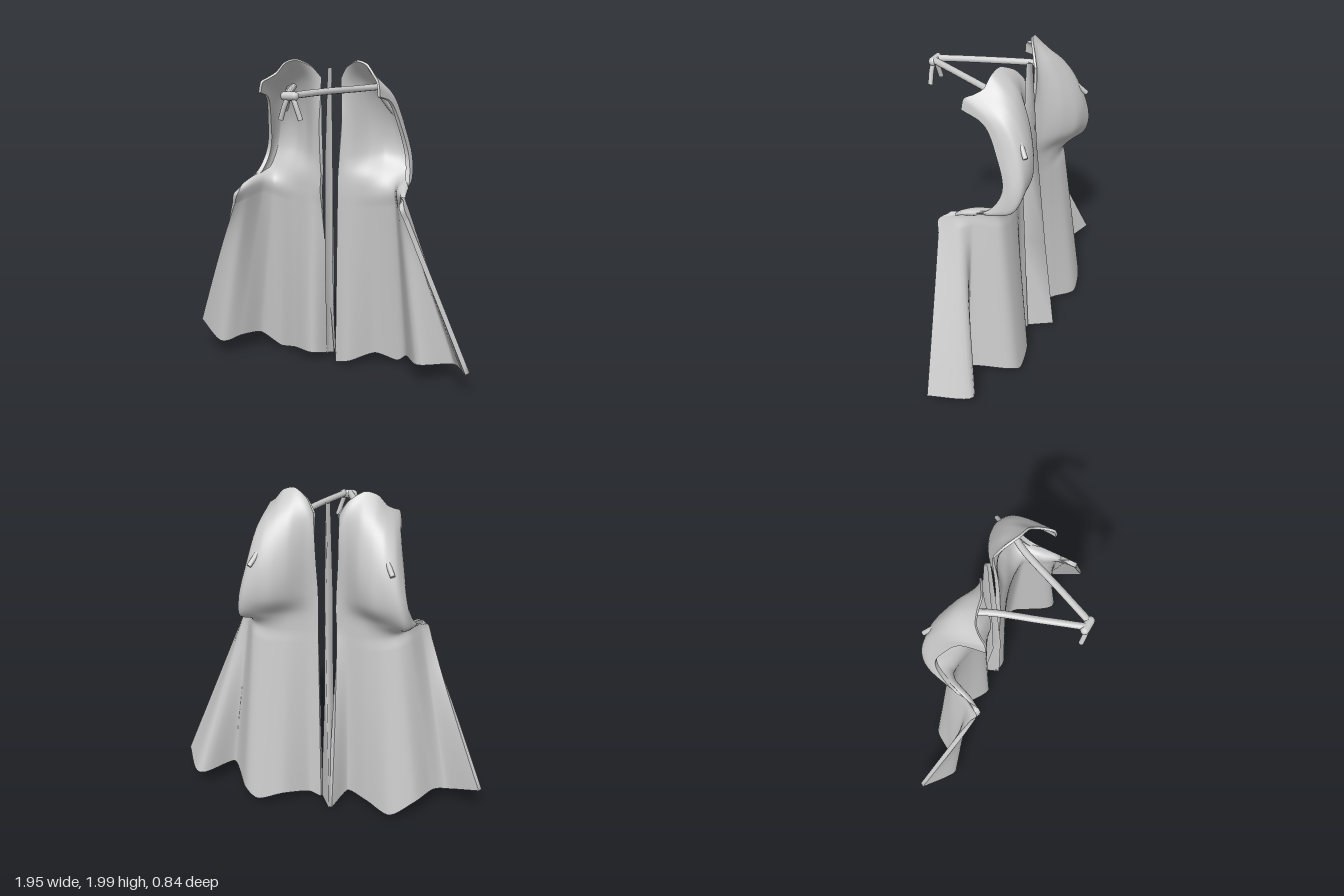
import * as THREE from 'three';
import { mergeGeometries } from 'three/addons/utils/BufferGeometryUtils.js';

const V = (p) => new THREE.Vector3(...p);

// Upper cape cross-sections, top edge to waist, from centre gap to armhole
const UPPER = [
  [[.07, 1.88, -.22], [.12, 1.95, -.18], [.2, 1.99, -.13], [.27, 1.97, -.115], [.32, 1.91, -.10], [.355, 1.88, -.06], [.38, 1.855, -.01], [.39, 1.79, 0]],
  [[.07, 1.78, -.22], [.12, 1.83, -.22], [.2, 1.85, -.25], [.28, 1.83, -.27], [.34, 1.81, -.27], [.39, 1.78, -.25], [.41, 1.76, -.2], [.41, 1.745, -.15]],
  [[.07, 1.6, -.21], [.13, 1.6, -.25], [.21, 1.6, -.33], [.29, 1.6, -.37], [.36, 1.6, -.38], [.42, 1.6, -.36], [.44, 1.6, -.3], [.44, 1.6, -.24]],
  [[.06, 1.4, -.2], [.13, 1.4, -.24], [.22, 1.4, -.32], [.3, 1.4, -.375], [.38, 1.4, -.39], [.455, 1.4, -.395], [.48, 1.4, -.35], [.475, 1.4, -.3]],
  [[.055, 1.27, -.2], [.13, 1.27, -.215], [.23, 1.27, -.25], [.32, 1.27, -.29], [.41, 1.275, -.325], [.48, 1.275, -.345], [.5, 1.27, -.29], [.505, 1.26, -.22]],
];
// Skirt top and hem for each side
const SKIRT_LEFT = [
  [[.055, 1.16, -.2], [.13, 1.16, -.21], [.24, 1.16, -.24], [.34, 1.17, -.255], [.43, 1.19, -.24], [.485, 1.21, -.12], [.535, 1.19, -.04], [.56, 1.15, .06]],
  [[.03, .01, -.25], [.12, .03, -.24], [.26, .07, -.355], [.41, .03, -.385], [.495, .08, -.35], [.64, .12, -.12], [.83, .1, -.28], [.965, .13, -.05]],
];
const SKIRT_RIGHT = [
  [[.06, 1.16, -.2], [.13, 1.16, -.21], [.24, 1.16, -.24], [.34, 1.17, -.255], [.42, 1.19, -.25], [.475, 1.21, -.2], [.52, 1.19, -.07], [.56, 1.15, .015]],
  [[.05, .02, -.38], [.13, .06, -.22], [.28, .05, -.3], [.43, .02, -.38], [.57, .11, -.34], [.66, .12, -.2], [.76, .09, -.12], [.965, .18, -.24]],
];

// Smooth sheet through rows of points
function sheet(rows) {
  const pos = [], idx = [], n = rows[0].length;
  rows.forEach((row, j) => {
    row.forEach((p) => pos.push(p.x, p.y, p.z));
    if (j === rows.length - 1) return;
    for (let i = 0; i < n - 1; i++) {
      const a = j * n + i, b = a + n;
      idx.push(a, b, a + 1, b, b + 1, a + 1);
    }
  });
  const g = new THREE.BufferGeometry();
  g.setAttribute('position', new THREE.Float32BufferAttribute(pos, 3));
  g.setIndex(idx);
  g.computeVertexNormals();
  return g;
}

// Points around the border of a grid
function border(rows) {
  const last = rows[0].length - 1;
  return [
    ...rows[0],
    ...rows.slice(1).map((r) => r[last]),
    ...rows[rows.length - 1].slice(0, -1).reverse(),
    ...rows.slice(0, -1).reverse().map((r) => r[0]),
  ];
}

// Cloth with thickness: two offset sheets joined by a rim, thinner at the shoulders
function shell(rows) {
  const normals = sheet(rows).attributes.normal, n = rows[0].length;
  const layer = (dir) => rows.map((row, j) => row.map((p, i) => {
    const half = THREE.MathUtils.mapLinear(THREE.MathUtils.clamp(p.y, 1.2, 1.9), 1.2, 1.9, .015, .007);
    return new THREE.Vector3().fromBufferAttribute(normals, j * n + i).multiplyScalar(dir * half).add(p);
  }));
  const front = layer(1), back = layer(-1);
  return mergeGeometries([sheet(front), sheet(back), sheet([border(front), border(back)])]);
}

// One half: curved shoulder above, straight hanging folds below
function capeHalf(side, skirt) {
  const segU = 48, segV = 48;
  const across = [...UPPER, ...skirt].map((r) =>
    new THREE.CatmullRomCurve3(r.map(([x, y, z]) => V([x * side, y, z])), false, 'catmullrom', .38));
  const columns = [];
  for (let i = 0; i <= segU; i++) {
    const pts = across.map((c) => c.getPoint(i / segU));
    const hem = pts.pop(), waist = pts[pts.length - 1];
    const start = waist.clone().lerp(hem, .08);
    const col = new THREE.CatmullRomCurve3([...pts, start]).getPoints(segV);
    for (let k = 1; k <= 10; k++) col.push(start.clone().lerp(hem, k / 10));
    columns.push(col);
  }
  return shell(columns[0].map((_, j) => columns.map((c) => c[j])));
}

export function createModel() {
  const model = new THREE.Group();
  const cloth = new THREE.MeshStandardMaterial({ color: 0xcacaca, side: THREE.DoubleSide });
  cloth.name = 'grey cloth';
  const add = (name, geometry) => {
    const m = new THREE.Mesh(geometry, cloth);
    m.name = name;
    model.add(m);
    return m;
  };
  const cord = (name, pts, r) => {
    const curve = new THREE.CatmullRomCurve3(pts.map(V));
    add(name, new THREE.TubeGeometry(curve, 16, r, 10));
    // Closed ends
    for (const t of [0, 1]) {
      const cap = add(name + 'End', new THREE.CircleGeometry(r, 10));
      const p = curve.getPoint(t);
      cap.position.copy(p);
      cap.lookAt(p.clone().addScaledVector(curve.getTangent(t), t ? 1 : -1));
    }
  };

  add('leftCape', capeHalf(1, SKIRT_LEFT));
  add('rightCape', capeHalf(-1, SKIRT_RIGHT));

  // Narrow folded pleat in the centre gap, meeting the panels at the hem
  const pleatRows = [
    [[-.018, 1.94, -.2], [-.008, 1.94, -.23], [.01, 1.94, -.2]],
    [[-.03, 1.4, -.19], [-.012, 1.4, -.27], [.02, 1.4, -.19]],
    [[-.035, .7, -.2], [-.025, .7, -.34], [.025, .7, -.18]],
    [[-.06, .03, -.3], [-.05, .03, -.41], [.04, 0, -.22]],
  ].map((r) => r.map(V));
  add('centrePleat', sheet(pleatRows));

  // Neck cords, threaded through the shoulders and tied in front
  for (const s of [1, -1]) {
    const side = s > 0 ? 'left' : 'right';
    cord(side + 'NeckCord', [[s * .3, s > 0 ? 1.83 : 1.8, -.25], [s * .22, 1.825, -.13], [s * .1, 1.825, .18], [s * .02, 1.82, .39]], .02);
    // Loose ends inside the shoulders
    cord(side + 'CordTail', [[s * .31, 1.79, -.24], [s * .35, 1.7, -.32], [s * .41, 1.6, -.4]], .015);
    // Hanging ends of the bow
    cord(side + 'TieEnd', [[s * .015, 1.81, .4], [s * .035, 1.76, .405], [s * .062, 1.68, .4]], .015);
  }
  const knot = add('knot', new THREE.CapsuleGeometry(.026, .06, 6, 14));
  knot.rotation.z = Math.PI / 2;
  knot.position.set(-.005, 1.815, .4);

  return model;
}
